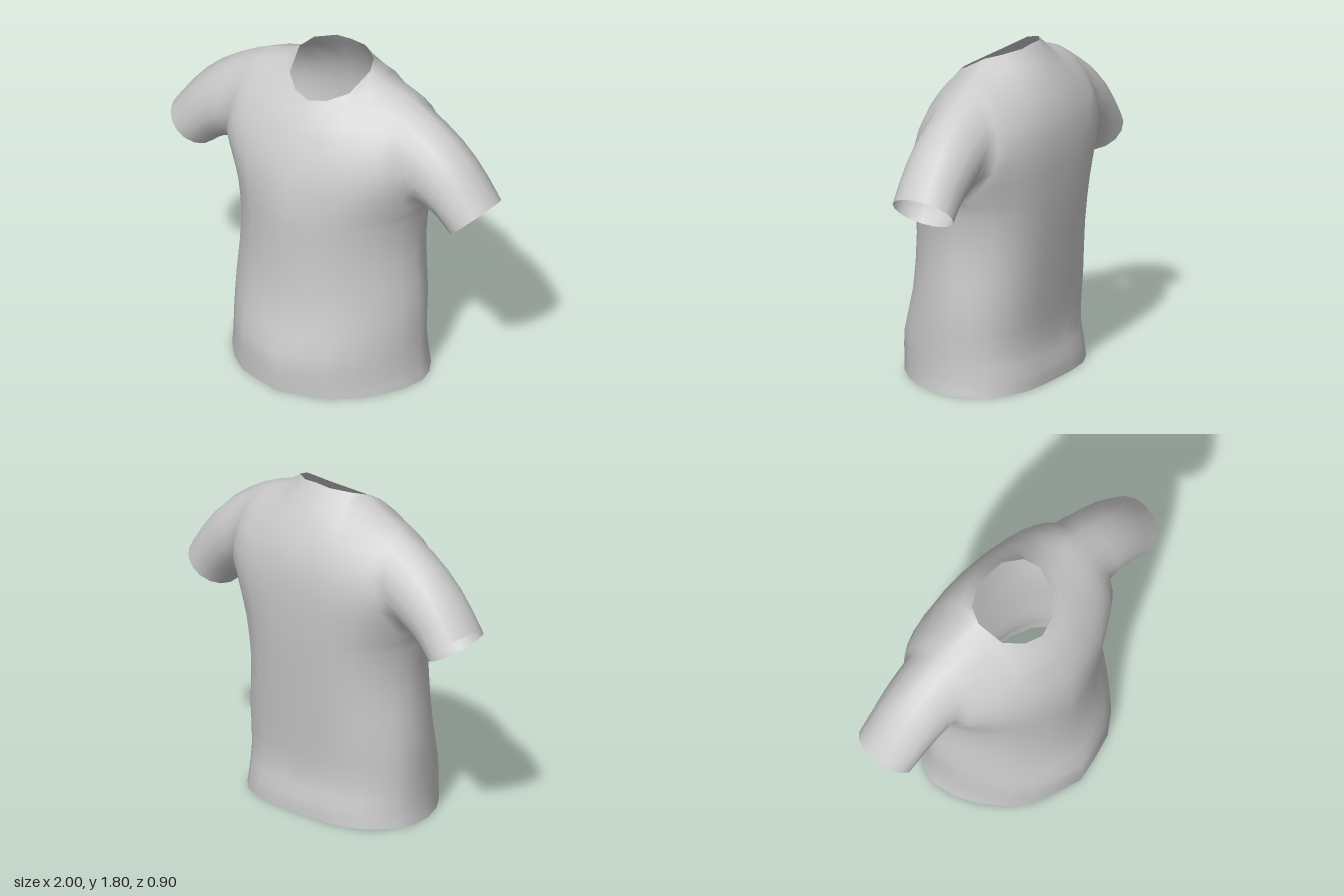
import * as THREE from 'three';
import { mergeGeometries, mergeVertices } from 'three/addons/utils/BufferGeometryUtils.js';

const STEPS = 2; // subdivisions between control rows
const SIDE_Z = -0.08; // depth of the side seam
const ARMPIT = 6; // control row where the sleeve begins

// Torso rings below the armpit: height, half width, front z, back z
const RINGS = [
  [0, 0.565, 0.445, -0.4], [0.08, 0.553, 0.45, -0.395], [0.22, 0.548, 0.45, -0.368],
  [0.45, 0.55, 0.39, -0.385], [0.75, 0.523, 0.372, -0.415], [0.98, 0.545, 0.375, -0.437],
  [1.08, 0.58, 0.37, -0.443],
];

// Per panel: section fractions (x, depth) from centre to side, then rows up to neck and shoulder
const FRONT = {
  sx: [0, 0.25, 0.48, 0.68, 0.84, 0.95, 1],
  sz: [1, 0.93, 0.85, 0.68, 0.47, 0.24, 0],
  rows: [
    [[0, 1.27, 0.335], [0.15, 1.27, 0.32], [0.29, 1.27, 0.285], [0.4, 1.27, 0.235], [0.48, 1.27, 0.185], [0.53, 1.25, 0.14], [0.568, 1.22, 0.07]],
    [[0, 1.46, 0.26], [0.13, 1.46, 0.25], [0.26, 1.46, 0.22], [0.36, 1.46, 0.18], [0.44, 1.46, 0.14], [0.5, 1.45, 0.11], [0.54, 1.42, 0.085]],
    [[0, 1.55, 0.205], [0.115, 1.555, 0.19], [0.21, 1.59, 0.14], [0.3, 1.63, 0.05], [0.39, 1.62, 0.02], [0.46, 1.6, 0.01], [0.52, 1.57, 0]],
    [[0, 1.62, 0.155], [0.1, 1.635, 0.125], [0.19, 1.675, 0.05], [0.225, 1.755, -0.09], [0.33, 1.7, -0.1], [0.42, 1.672, -0.11], [0.5, 1.64, -0.12]],
  ],
};
const BACK = {
  sx: [0, 0.27, 0.52, 0.73, 0.87, 0.96, 1],
  sz: [1, 0.99, 0.94, 0.79, 0.57, 0.29, 0],
  rows: [
    [[0, 1.27, -0.45], [0.15, 1.27, -0.447], [0.29, 1.27, -0.435], [0.41, 1.27, -0.4], [0.49, 1.27, -0.365], [0.54, 1.25, -0.325], [0.568, 1.22, -0.26]],
    [[0, 1.46, -0.43], [0.14, 1.46, -0.425], [0.28, 1.46, -0.405], [0.38, 1.46, -0.38], [0.45, 1.46, -0.35], [0.5, 1.45, -0.325], [0.54, 1.42, -0.3]],
    [[0, 1.64, -0.35], [0.11, 1.64, -0.345], [0.23, 1.65, -0.31], [0.31, 1.655, -0.25], [0.39, 1.64, -0.235], [0.46, 1.61, -0.23], [0.52, 1.57, -0.22]],
    [[0, 1.8, -0.24], [0.09, 1.795, -0.238], [0.19, 1.78, -0.175], ...FRONT.rows[3].slice(3)],
  ],
};

const spline = (pts) => new THREE.CatmullRomCurve3(pts).getPoints((pts.length - 1) * STEPS);

// Smooth columns of one half panel, from hem to shoulder
function panelColumns({ sx, sz, rows }, depthIndex) {
  return sx.map((fx, c) => {
    const low = RINGS.map((r) => new THREE.Vector3(r[1] * fx, r[0], SIDE_Z + (r[depthIndex] - SIDE_Z) * sz[c]));
    const high = rows.map((r) => new THREE.Vector3(...r[c]));
    if (c < sx.length - 1) return spline([...low, ...high]);
    // The side seam turns into the armhole at the armpit
    return [...spline(low), ...spline([low[ARMPIT], ...high]).slice(1)];
  });
}

// Surface through a grid of points; side = -1 mirrors it across x
function surface(lines, side, flip) {
  const n = lines[0].length;
  const positions = lines.flat().flatMap((p) => [p.x * side, p.y, p.z]);
  const index = [];
  for (let i = 0; i < lines.length - 1; i++) {
    for (let j = 0; j < n - 1; j++) {
      const a = i * n + j, b = a + n, c = b + 1, d = a + 1;
      if (flip !== side < 0) index.push(a, c, b, a, d, c);
      else index.push(a, b, c, a, c, d);
    }
  }
  const geometry = new THREE.BufferGeometry();
  geometry.setAttribute('position', new THREE.Float32BufferAttribute(positions, 3));
  geometry.setIndex(index);
  return geometry;
}

// Sleeve lines from each armhole point out to the tilted oval cuff
function sleeveLines(armhole) {
  const rings = 5;
  return armhole.map((start, k) => {
    const angle = (k / (armhole.length - 1)) * Math.PI * 2; // 0 at armpit, forward first
    const cuff = new THREE.Vector3(
      0.89 - 0.11 * Math.cos(angle), 1.09 - 0.1 * Math.cos(angle), -0.1 + 0.172 * Math.sin(angle));
    return Array.from({ length: rings + 1 }, (_, i) => {
      const t = i / rings;
      const bulge = Math.sin(Math.PI * t) * (0.03 - 0.012 * Math.cos(angle));
      return start.clone().lerp(cuff, t).add(new THREE.Vector3(bulge * 0.7, bulge, 0));
    });
  });
}

export function createModel() {
  const fabric = new THREE.MeshStandardMaterial({ color: 0xcccccc, side: THREE.DoubleSide });
  fabric.name = 'light grey fabric';

  const front = panelColumns(FRONT, 2);
  const back = panelColumns(BACK, 3);
  const armholeFront = front[6].slice(ARMPIT * STEPS);
  const armholeBack = back[6].slice(ARMPIT * STEPS);
  const sleeve = sleeveLines([...armholeFront, ...armholeBack.reverse().slice(1)]);

  // Both halves, welded into one smooth cloth surface
  const pieces = [1, -1].flatMap((side) => [
    surface(front, side, false),
    surface(back, side, true),
    surface(sleeve, side, true),
  ]);
  const cloth = mergeVertices(mergeGeometries(pieces), 1e-4);
  cloth.computeVertexNormals();

  const shirt = new THREE.Mesh(cloth, fabric);
  shirt.name = 'shirt';
  const model = new THREE.Group();
  model.name = 'shortSleevedShirt';
  model.add(shirt);
  return model;
}
